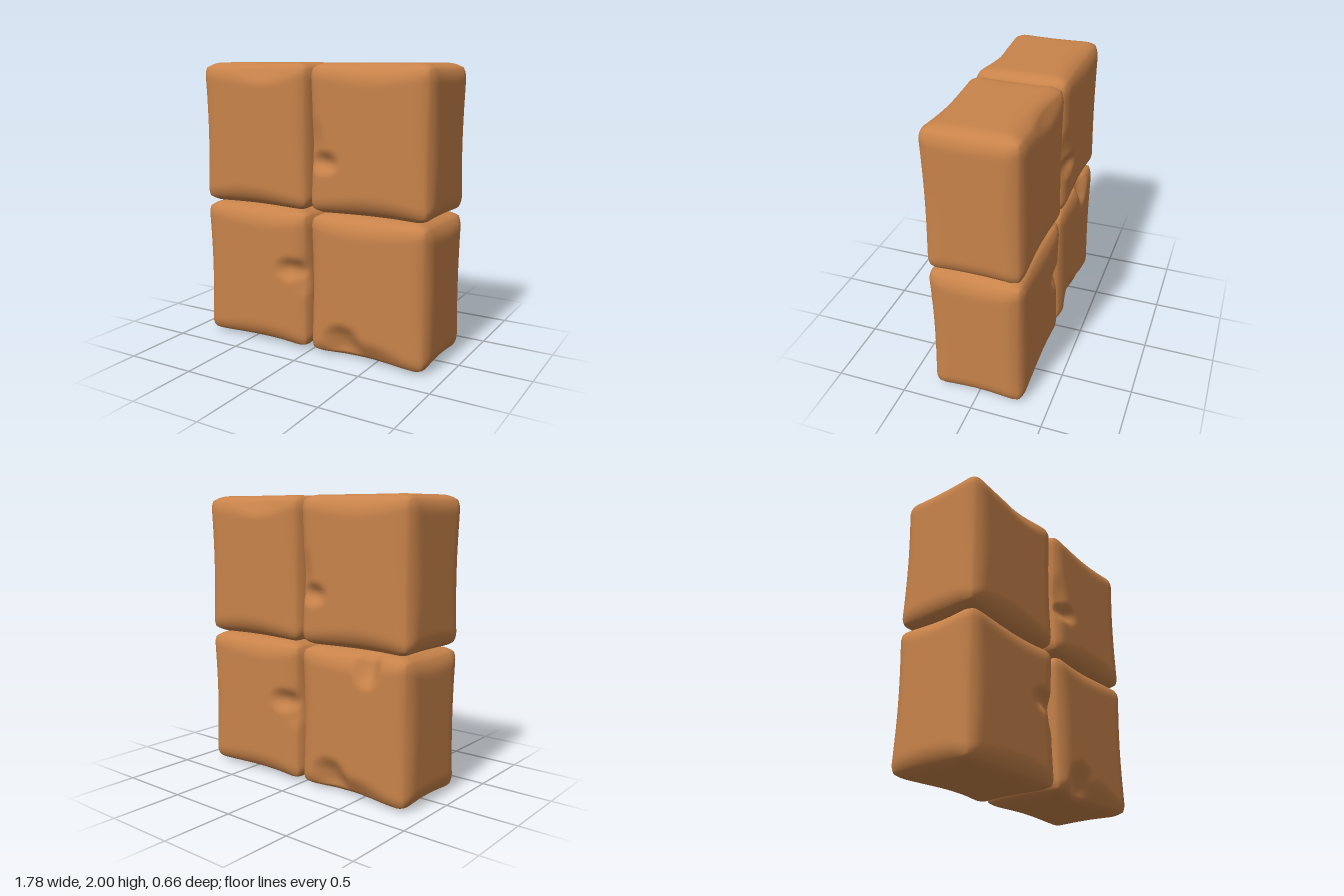
import * as THREE from 'three';
import { mergeVertices } from 'three/addons/utils/BufferGeometryUtils.js';

const HALF = new THREE.Vector3(0.445, 0.5, 0.33);

// Worn block: rounded box whose edge radius grows towards the middle of each edge,
// then pressed in by dents { at, size (ellipsoid radii), push }.
function wornBlock(seed, dents) {
  const box = new THREE.BoxGeometry(HALF.x * 2, HALF.y * 2, HALF.z * 2, 40, 44, 30);
  box.deleteAttribute('uv');
  box.deleteAttribute('normal');
  const geo = mergeVertices(box, 1e-4);
  const pos = geo.attributes.position;
  const p = new THREE.Vector3(), q = new THREE.Vector3(), d = new THREE.Vector3();
  const bow = (v, h) => Math.cos((Math.PI * v) / (2 * h));
  for (let i = 0; i < pos.count; i++) {
    p.fromBufferAttribute(pos, i);
    const middle = bow(p.x, HALF.x) + bow(p.y, HALF.y) + bow(p.z, HALF.z);
    const wave = Math.sin(7 * p.x + seed) + Math.sin(6 * p.y + 2 * seed) * Math.cos(5 * p.z);
    const r = 0.095 + 0.035 * middle + 0.01 * wave;
    const inner = HALF.clone().subScalar(r);
    q.copy(p).clamp(inner.clone().negate(), inner);
    d.copy(p).sub(q).setLength(r);
    p.copy(q).add(d);
    for (const { at, size, push } of dents) {
      const k = Math.hypot((p.x - at[0]) / size[0], (p.y - at[1]) / size[1], (p.z - at[2]) / size[2]);
      if (k < 1) p.addScaledVector(d.set(...push), (1 - k * k) ** 2);
    }
    pos.setXYZ(i, p.x, p.y, p.z);
  }
  geo.computeVertexNormals();
  return geo;
}

export function createModel() {
  const clay = new THREE.MeshStandardMaterial({ color: 0xc8834a });
  clay.name = 'clay brown';
  const group = new THREE.Group();
  group.name = 'blockWall';

  // dents in block-local coordinates
  const upperDents = [
    { at: [-0.31, -0.15, 0.33], size: [0.14, 0.09, 0.15], push: [0, 0, -0.045] },
    { at: [-0.38, -0.04, 0.33], size: [0.1, 0.22, 0.15], push: [0, 0, -0.02] },
    { at: [-0.1, 0.44, -0.33], size: [0.28, 0.1, 0.15], push: [0, 0, 0.02] },
  ];
  const lowerDents = [
    { at: [-0.17, -0.38, 0.33], size: [0.17, 0.15, 0.18], push: [0, 0, -0.06] },
    { at: [0.0, -0.44, 0.33], size: [0.32, 0.12, 0.18], push: [0, 0, -0.025] },
    { at: [-0.31, 0.08, -0.33], size: [0.15, 0.1, 0.15], push: [0, 0, 0.045] },
    { at: [-0.4, 0.03, -0.33], size: [0.1, 0.17, 0.15], push: [0, 0, 0.025] },
  ];
  // chipped top edge, only on the lower right block (turned to the back)
  const chip = { at: [0.13, 0.42, 0.33], size: [0.13, 0.17, 0.18], push: [0, -0.03, -0.06] };

  const upper = wornBlock(1, upperDents);
  const lower = wornBlock(2.5, lowerDents);
  const add = (name, geo, side, y) => {
    const mesh = new THREE.Mesh(geo, clay);
    mesh.name = name;
    mesh.position.set(side * HALF.x, y, 0);
    if (side < 0) mesh.rotation.y = Math.PI; // right column is the left one turned round
    group.add(mesh);
  };
  add('upperLeftBlock', upper, 1, 1.5);
  add('upperRightBlock', upper, -1, 1.5);
  add('lowerLeftBlock', lower, 1, 0.5);
  add('lowerRightBlock', wornBlock(2.5, [...lowerDents, chip]), -1, 0.5);
  return group;
}
